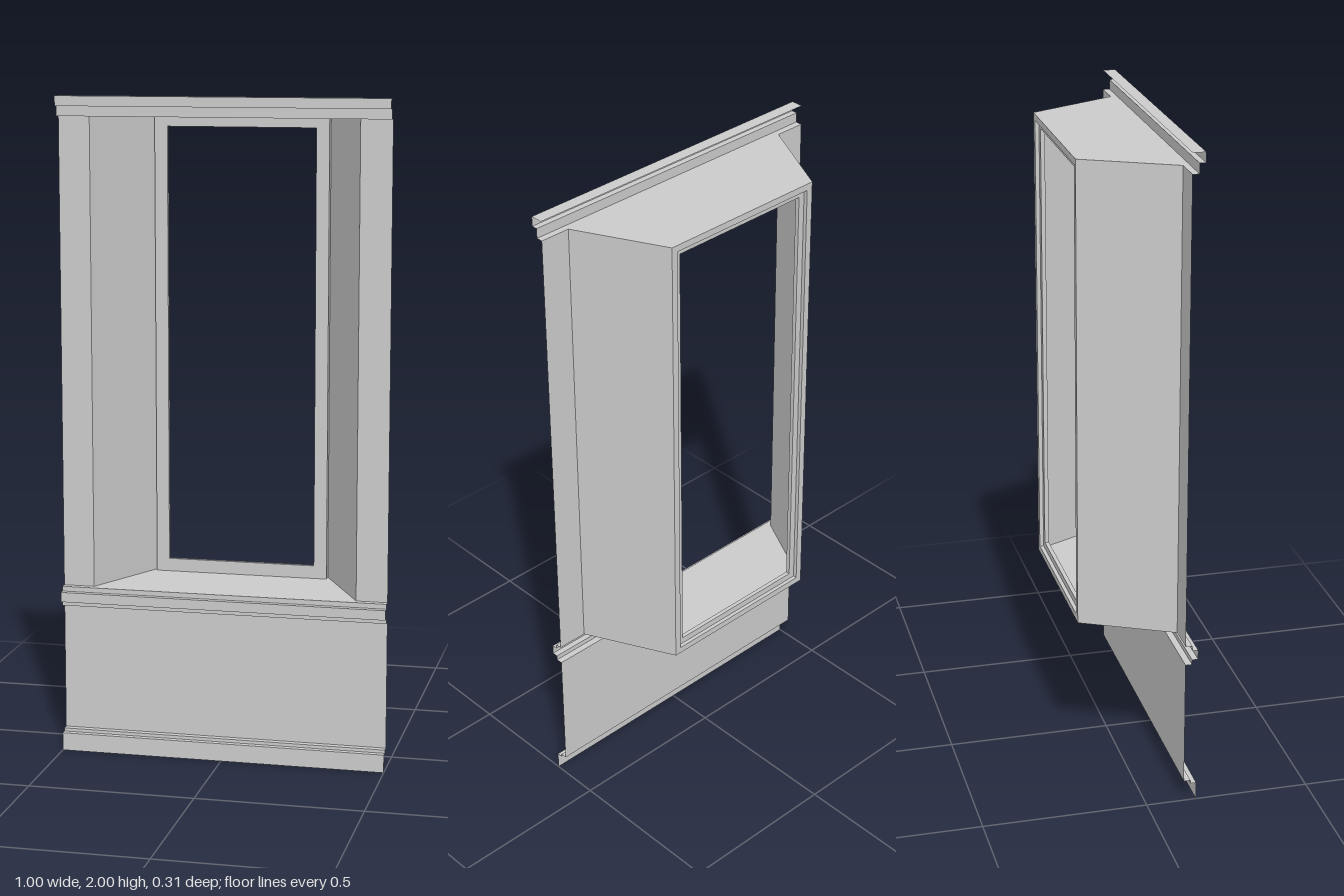
import * as THREE from 'three';

const material = new THREE.MeshStandardMaterial({ color: 0xcccccc, side: THREE.DoubleSide, flatShading: true });

// Thin surface made of four-cornered faces
function sheet(name, quads) {
  const pos = quads.flatMap(([a, b, c, d]) => [a, b, c, a, c, d]).flat();
  const geo = new THREE.BufferGeometry();
  geo.setAttribute('position', new THREE.Float32BufferAttribute(pos, 3));
  geo.computeVertexNormals();
  const mesh = new THREE.Mesh(geo, material);
  mesh.name = name;
  return mesh;
}

// Open moulding: a [z, y] profile, listed bottom to top, swept across the width
function moulding(name, profile, h = 0.5) {
  return sheet(name, profile.slice(1).map(([z1, y1], i) => {
    const [z0, y0] = profile[i];
    return [[-h, y0, z0], [h, y0, z0], [h, y1, z1], [-h, y1, z1]];
  }));
}

// Rectangular frame with an opening, extruded from zBack to zFront
function frame(name, [hw, y0, y1], inset, zBack, zFront) {
  const rect = (Type, w, a, b) => new Type([[-w, a], [w, a], [w, b], [-w, b]].map(p => new THREE.Vector2(...p)));
  const shape = rect(THREE.Shape, hw, y0, y1);
  shape.holes.push(rect(THREE.Path, hw - inset, y0 + inset, y1 - inset));
  const geo = new THREE.ExtrudeGeometry(shape, { depth: zFront - zBack, bevelEnabled: false });
  geo.translate(0, 0, zBack);
  const mesh = new THREE.Mesh(geo, material);
  mesh.name = name;
  return mesh;
}

export function createModel() {
  const group = new THREE.Group();
  group.name = 'windowWall';
  const wall = 0.115, mid = 0.135, out = 0.153, back = -0.155;
  const sill = 0.515, head = 1.94;
  const wide = 0.405, narrow = 0.27;

  // Horizontal bands: skirting, lower panel, sill rail and crown
  group.add(
    moulding('skirting', [[out, 0], [out, 0.055], [mid, 0.055], [mid, 0.065], [wall, 0.065]]),
    moulding('lowerPanel', [[wall, 0.065], [wall, 0.455]]),
    moulding('sillRail', [[wall, 0.455], [mid, 0.455], [mid, 0.47], [out, 0.47],
      [out, 0.5], [mid, 0.5], [mid, sill], [wall, sill]]),
    moulding('crown', [[wall, head], [mid, head], [mid, 1.97], [out, 1.97], [out, 2], [wall, 2]]),
  );

  // Wall strips and splayed reveal cheeks on both sides
  for (const [side, s] of [['right', -1], ['left', 1]]) {
    const strip = [[s * wide, sill, wall], [s * 0.5, sill, wall], [s * 0.5, head, wall], [s * wide, head, wall]];
    const cheek = [[s * narrow, sill, back], [s * wide, sill, wall], [s * wide, head, wall], [s * narrow, head, back]];
    if (s < 0) { strip.reverse(); cheek.reverse(); }
    group.add(sheet(side + 'WallStrip', [strip]), sheet(side + 'Reveal', [cheek]));
  }

  // Reveal floor and ceiling
  const trapezoid = y => [[-wide, y, wall], [wide, y, wall], [narrow, y, back], [-narrow, y, back]];
  group.add(
    sheet('revealFloor', [trapezoid(sill)]),
    sheet('revealCeiling', [trapezoid(head).reverse()]),
  );

  // Window frame, stepped towards the back
  group.add(
    frame('outerFrame', [narrow, sill, head], 0.02, back, -0.13),
    frame('innerFrame', [narrow - 0.02, sill + 0.02, head - 0.02], 0.02, -0.143, -0.13),
  );
  return group;
}
